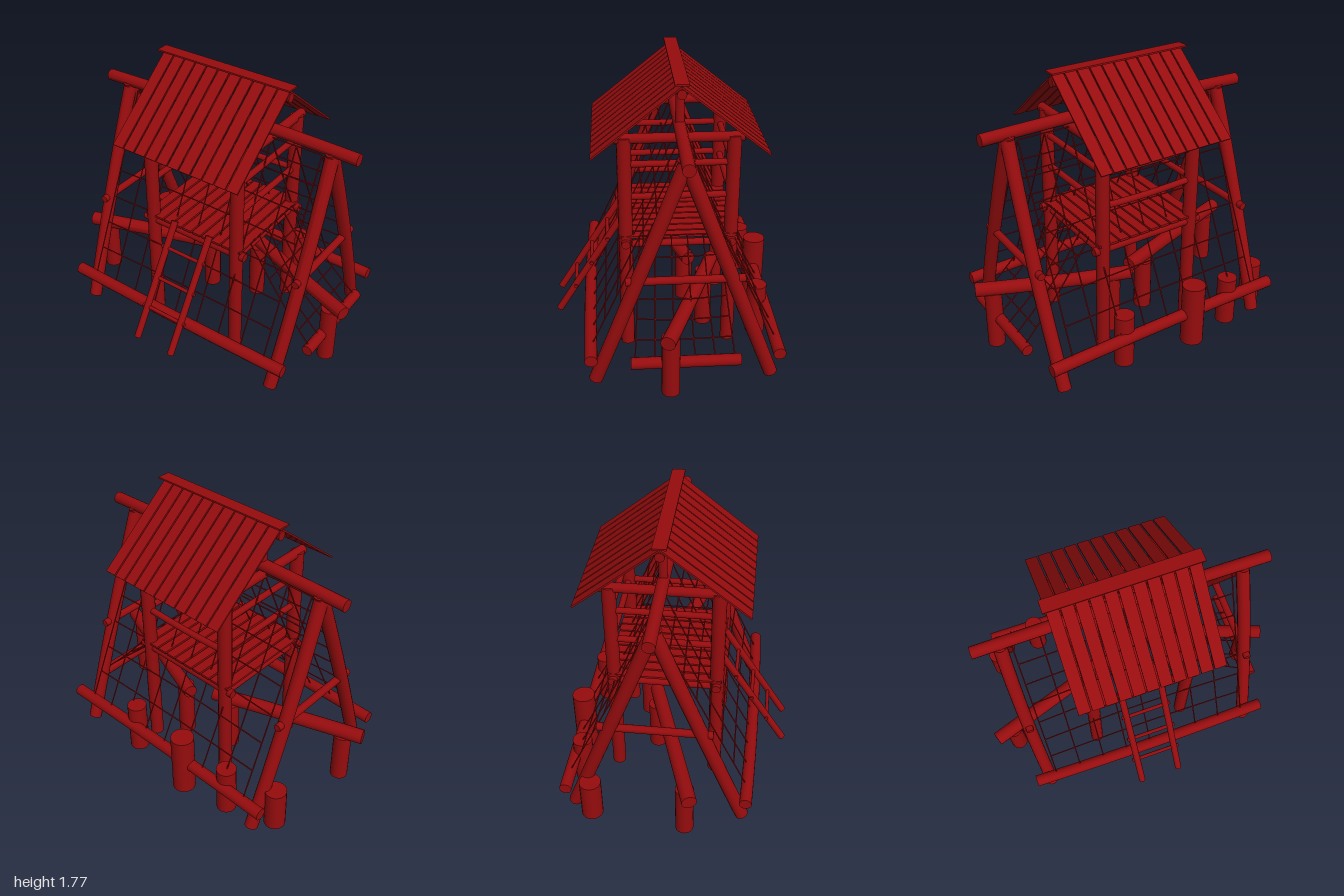
import * as THREE from 'three';

export function createModel() {
  const model = new THREE.Group();
  const red = new THREE.MeshStandardMaterial({ color: 0x960c0e });
  red.name = 'barnRed';
  const V = (x, y, z) => new THREE.Vector3(x, y, z);

  function group(name) {
    const g = new THREE.Group();
    g.name = name;
    model.add(g);
    return g;
  }

  // Capped round log from a to b, bowed sideways by the vector bow at its middle
  function log(parent, name, a, b, r, bow = null, sides = 16) {
    const dir = b.clone().sub(a);
    const geo = new THREE.CylinderGeometry(r, r, dir.length(), sides, bow ? 8 : 1);
    geo.applyQuaternion(new THREE.Quaternion().setFromUnitVectors(V(0, 1, 0), dir.clone().normalize()));
    const mid = a.clone().add(b).multiplyScalar(0.5);
    geo.translate(mid.x, mid.y, mid.z);
    if (bow) {
      const p = geo.attributes.position, v = V(0, 0, 0);
      for (let i = 0; i < p.count; i++) {
        v.fromBufferAttribute(p, i);
        const t = v.clone().sub(a).dot(dir) / dir.lengthSq();
        v.addScaledVector(bow, 4 * t * (1 - t));
        p.setXYZ(i, v.x, v.y, v.z);
      }
      geo.computeVertexNormals();
    }
    const m = new THREE.Mesh(geo, red);
    m.name = name;
    parent.add(m);
    return m;
  }

  function rope(parent, points) {
    const geo = new THREE.TubeGeometry(new THREE.CatmullRomCurve3(points), 12, 0.0042, 5);
    const m = new THREE.Mesh(geo, red);
    m.name = 'rope';
    parent.add(m);
  }

  // Rope net over a surface f(u, v), with given numbers of cells
  function net(name, f, nu, nv) {
    const g = group(name);
    const steps = [0, 0.2, 0.4, 0.6, 0.8, 1];
    for (let i = 0; i <= nu; i++) rope(g, steps.map(t => f(i / nu, t)));
    for (let j = 0; j <= nv; j++) rope(g, steps.map(t => f(t, j / nv)));
  }

  const ZC = -0.075; // centre line of ridge and roof

  // A-frame ends with ridge beam and cross bars
  const frame = group('climbingFrame');
  log(frame, 'ridgeBeam', V(-0.905, 1.475, ZC), V(0.905, 1.48, ZC), 0.037, V(0, 0.012, 0));
  for (const s of [-1, 1]) {
    log(frame, 'frontLeg', V(s * 0.725, 0.04, 0.45), V(s * 0.74, 1.48, ZC - 0.01), 0.042, V(s * 0.014, 0, 0));
    log(frame, 'backLeg', V(s * 0.725, 0.04, -0.605), V(s * 0.74, 1.48, ZC + 0.01), 0.042, V(s * 0.014, 0, 0));
    log(frame, 'legCrossBar', V(s * 0.745, 0.73, 0.26), V(s * 0.745, 0.73, -0.42), 0.024);
  }
  log(frame, 'frontBottomLog', V(-0.82, 0.24, 0.47), V(0.82, 0.24, 0.47), 0.038, V(0, 0.006, 0.012));
  log(frame, 'backBottomLog', V(-0.82, 0.24, -0.635), V(0.82, 0.24, -0.635), 0.038, V(0, 0.006, 0.005));

  // Sloping nets at front and back
  for (const [name, zEnd] of [['frontNet', 0.46], ['backNet', -0.625]]) {
    net(name, (u, v) => {
      const sag = 0.02 * Math.sin(Math.PI * u) * Math.sin(Math.PI * v);
      const z = THREE.MathUtils.lerp(ZC, zEnd, v) - Math.sign(zEnd) * sag;
      return V(-0.676 + 1.352 * u, 1.43 - 1.16 * v, z);
    }, 8, 7);
  }

  // Tower posts, rails and roof supports
  const tower = group('tower');
  const ZF = 0.246, ZB = -0.393, PX = 0.32;
  for (const s of [-1, 1]) {
    const x = s * PX;
    for (const z of [ZF, ZB]) log(tower, 'post', V(x, 0.012, z), V(x, 1.43, z), 0.043);
    log(tower, 'topPlate', V(x, 1.42, 0.3), V(x, 1.42, -0.45), 0.03);
    for (const y of [1.26, 1.05]) log(tower, 'sideRail', V(x, y, ZF), V(x, y, ZB), 0.02);
    log(tower, 'platformSideBeam', V(x, 0.73, ZF), V(x, 0.73, ZB), 0.022);
    log(tower, 'roofPost', V(x, 1.46, ZC), V(x, 1.73, ZC), 0.026);
  }
  for (const y of [1.255, 1.045]) log(tower, 'backRail', V(-PX, y, ZB), V(PX, y, ZB), 0.02, V(0, -0.01, 0));
  for (const z of [ZF, ZB]) log(tower, 'platformBeam', V(-0.385, 0.755, z), V(0.385, 0.755, z), 0.027);

  // Platform planks
  const platform = group('platform');
  for (let i = 0; i < 10; i++) {
    const m = new THREE.Mesh(new THREE.BoxGeometry(0.062, 0.014, 0.7), red);
    m.position.set(-0.333 + i * 0.074, 0.795, ZC);
    m.name = 'floorPlank';
    platform.add(m);
  }

  // Gable roof of spaced planks with a ridge cap
  const roof = group('roof');
  log(roof, 'roofRidgePole', V(-0.45, 1.722, ZC), V(0.455, 1.722, ZC), 0.028);
  const run = 0.51, drop = 0.41, len = Math.hypot(run, drop);
  for (const s of [-1, 1]) {
    for (let i = 0; i < 11; i++) {
      const m = new THREE.Mesh(new THREE.BoxGeometry(0.073, 0.01, len), red);
      m.position.set(-0.4075 + i * 0.0819, 1.762 - drop / 2, ZC + s * run / 2);
      m.rotation.x = s * Math.atan2(drop, run);
      m.name = 'roofPlank';
      roof.add(m);
    }
  }
  const cap = new THREE.Mesh(new THREE.BoxGeometry(0.93, 0.01, 0.082), red);
  cap.position.set(0, 1.78, ZC);
  cap.name = 'ridgeCap';
  roof.add(cap);

  // Front ladder
  const ladder = group('ladder');
  const foot = V(0, 0.15, 0.685), head = V(0, 0.82, 0.265);
  for (const s of [-1, 1])
    log(ladder, 'ladderRail', foot.clone().setX(s * 0.133), head.clone().setX(s * 0.133), 0.022);
  for (const y of [0.33, 0.5, 0.67]) {
    const p = foot.clone().lerp(head, (y - 0.15) / 0.67);
    log(ladder, 'rung', p.clone().setX(-0.165), p.clone().setX(0.165), 0.012, null, 10);
  }

  // Side scramble net with its anchor log
  log(group('sideNetAnchor'), 'anchorLog', V(0.85, 0.24, 0.24), V(0.85, 0.24, -0.4), 0.035);
  net('sideNet', (u, v) => {
    const sag = 0.04 * Math.sin(Math.PI * v) * (0.4 + 0.6 * Math.sin(Math.PI * u));
    const half = THREE.MathUtils.lerp(0.24, 0.29, v);
    return V(0.37 + 0.48 * v - sag * 0.5, 0.81 - 0.55 * v - sag, ZC + half * (1 - 2 * u));
  }, 5, 6);

  // Balance beams and their stumps
  const beams = group('balanceBeams');
  log(beams, 'rightBeam', V(-0.98, 0.405, 0.145), V(-0.02, 0.4, -0.17), 0.046, V(0, 0.004, 0));
  log(beams, 'leftBeam', V(0.97, 0.46, 0.035), V(0.06, 0.455, -0.31), 0.044, V(0, -0.008, 0));

  // x, z, radius, top height
  const stumps = group('stumps');
  for (const [x, z, r, h] of [
    [-0.86, 0.105, 0.056, 0.38], [-0.145, -0.15, 0.057, 0.38],
    [0.865, 0.01, 0.054, 0.43], [0.165, -0.25, 0.054, 0.43],
    [-0.805, -0.48, 0.067, 0.31], [-0.505, -0.585, 0.062, 0.36],
    [-0.188, -0.637, 0.073, 0.45], [0.29, -0.58, 0.062, 0.385],
  ]) log(stumps, 'stump', V(x, 0.038, z), V(x, h, z), r, null, 20);

  return model;
}
